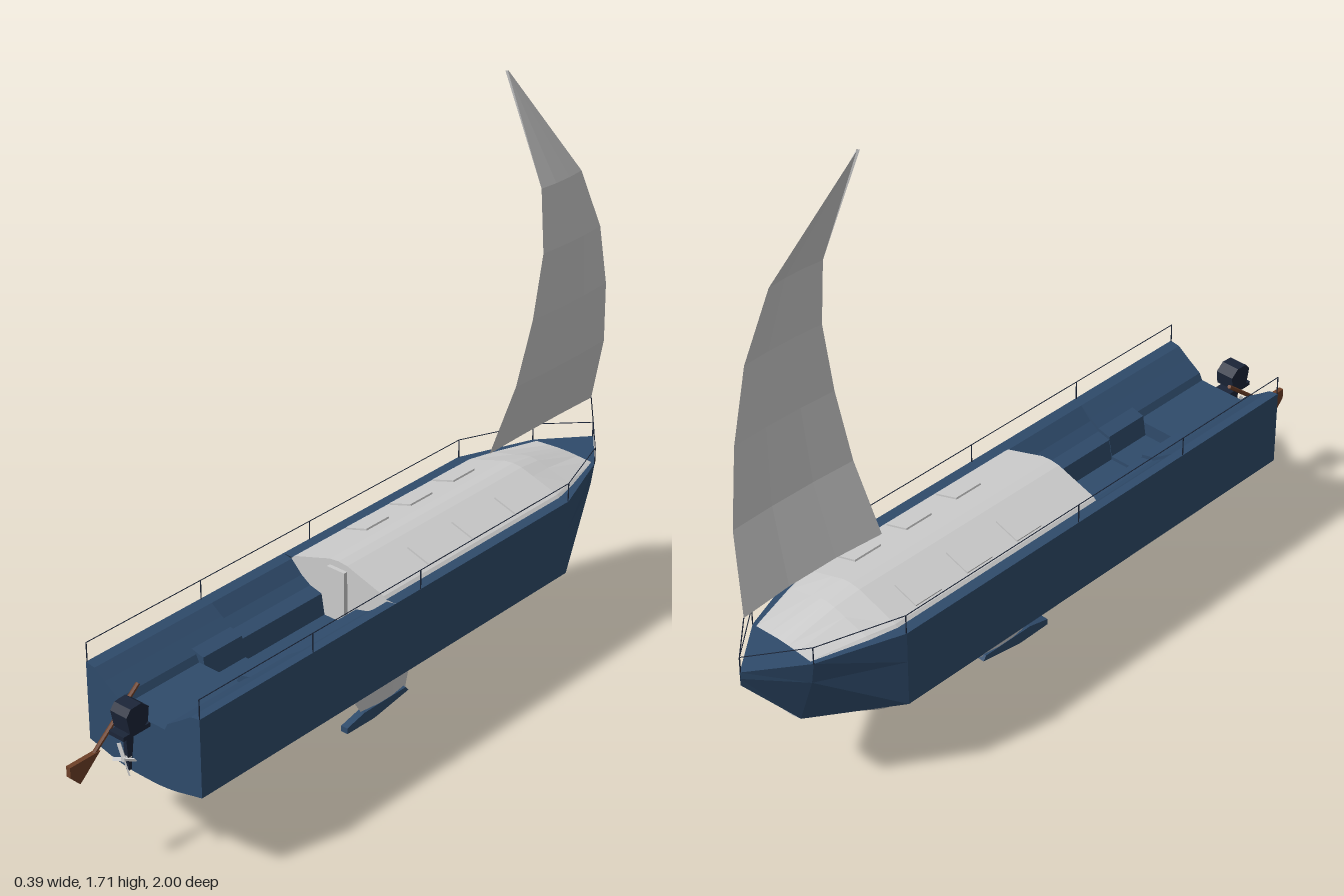
import * as THREE from 'three';

const paint = (color) => new THREE.MeshStandardMaterial({ color, flatShading: true, side: THREE.DoubleSide });
const grey = paint(0xcccccc), blue = paint(0x2f4b6b), navy = paint(0x1b2538), brown = paint(0x6e4028);

const V = (x, y, z) => new THREE.Vector3(x, y, z);

// Half section [x, y] from the +x edge to the centre line, mirrored to -x
const mirror = (half) => [...half, ...half.slice().reverse().filter(p => p[0] > 0).map(([x, y]) => [-x, y])];

function add(parent, name, geometry, material) {
  const mesh = new THREE.Mesh(geometry, material);
  mesh.name = name;
  parent.add(mesh);
  return mesh;
}

// Skin through rows of [x, y, z] points
function skin(rows) {
  const pos = [], index = [], n = rows[0].length;
  rows.forEach(row => row.forEach(p => pos.push(...p)));
  for (let i = 0; i < rows.length - 1; i++) {
    for (let j = 0; j < n - 1; j++) {
      const a = i * n + j, b = a + n;
      index.push(a, a + 1, b, a + 1, b + 1, b);
    }
  }
  const g = new THREE.BufferGeometry();
  g.setAttribute('position', new THREE.Float32BufferAttribute(pos, 3));
  g.setIndex(index);
  g.computeVertexNormals();
  return g;
}

// Stations are [z, section]
const loft = (stations) => skin(stations.map(([z, sec]) => sec.map(([x, y]) => [x, y, z])));

const outline = (pts) => new THREE.Shape(pts.map(([x, y]) => new THREE.Vector2(x, y)));
const panel = (pts, z) => new THREE.ShapeGeometry(outline(pts)).translate(0, 0, z);

// Side profile of [z, y] points, extruded to a thickness about x
const sidePlate = (pts, t, x = 0) => new THREE.ExtrudeGeometry(outline(pts.map(([z, y]) => [-z, y])), { depth: t, bevelEnabled: false })
  .translate(0, 0, -t / 2).rotateY(Math.PI / 2).translate(x, 0, 0);

// Straight rod between two points
function rod(parent, name, a, b, r, material, sides = 5) {
  const d = b.clone().sub(a);
  const m = add(parent, name, new THREE.CylinderGeometry(r, r, d.length(), sides), material);
  m.position.copy(a).addScaledVector(d, 0.5);
  m.quaternion.setFromUnitVectors(V(0, 1, 0), d.normalize());
}

export function createModel() {
  const boat = new THREE.Group();
  boat.name = 'sailboat';

  // Topsides: sheer, mid chine and lower edge
  const side = (s) => loft([
    [0.8, [[s * 0.195, 0.49], [s * 0.195, 0.4], [s * 0.195, 0.265]]],
    [-0.63, [[s * 0.195, 0.49], [s * 0.195, 0.4], [s * 0.195, 0.265]]],
    [-0.86, [[s * 0.11, 0.485], [s * 0.1, 0.42], [s * 0.05, 0.275]]],
    [-1, [[0, 0.48], [0, 0.46], [0, 0.44]]],
  ]);
  add(boat, 'leftTopside', side(1), blue);
  add(boat, 'rightTopside', side(-1), blue);
  add(boat, 'stemUnderside', loft([[-0.86, [[0.05, 0.275], [-0.05, 0.275]]], [-1, [[0, 0.44], [0, 0.44]]]]), blue);

  // Rounded bottom
  const bilge = mirror([[0.195, 0.265], [0.16, 0.25], [0.115, 0.205], [0.08, 0.178], [0.04, 0.166], [0, 0.166]]);
  const sternEdge = mirror([[0.195, 0.265], [0.16, 0.257], [0.115, 0.246], [0.08, 0.24], [0.04, 0.236], [0, 0.236]]);
  const bowEdge = mirror([[0.05, 0.275], [0.04, 0.272], [0.03, 0.27], [0.02, 0.268], [0.01, 0.267], [0, 0.267]]);
  add(boat, 'hullBottom', loft([[0.8, sternEdge], [0.6, bilge], [-0.63, bilge], [-0.86, bowEdge]]), grey);

  // Foredeck and side decks
  add(boat, 'deck', loft([
    [0.09, [[0.195, 0.49], [-0.195, 0.49]]], [-0.63, [[0.195, 0.49], [-0.195, 0.49]]],
    [-0.86, [[0.11, 0.485], [-0.11, 0.485]]], [-1, [[0, 0.48], [0, 0.48]]],
  ]), blue);

  // Cockpit with stepped benches and floor
  const well = (bench, floor, w) => mirror([[0.195, 0.49], [0.165, 0.485], [0.13, bench + 0.02], [0.1, bench], [w, bench - 0.01], [w - 0.01, floor], [0, floor]]);
  const fore = well(0.43, 0.36, 0.06), mid = well(0.44, 0.37, 0.06), aft = well(0.44, 0.41, 0.085);
  add(boat, 'cockpit', loft([[0.09, fore], [0.39, fore], [0.39, mid], [0.53, mid], [0.53, aft], [0.8, aft]]), blue);
  add(boat, 'transom', panel([...aft, ...sternEdge.slice().reverse()], 0.8), blue);

  // Cabin roof tapering to the foredeck
  const roof = mirror([[0.165, 0.488], [0.155, 0.497], [0.07, 0.524], [0.03, 0.537], [0, 0.54]]);
  const nose = mirror([[0.1, 0.484], [0.095, 0.486], [0.05, 0.489], [0.02, 0.491], [0, 0.491]]);
  const brow = mirror([[0.145, 0.488], [0.135, 0.495], [0.06, 0.514], [0.025, 0.525], [0, 0.528]]);
  add(boat, 'cabinRoof', loft([[0.09, roof], [-0.63, roof], [-0.71, brow], [-0.86, nose]]), grey);
  add(boat, 'cabinBulkhead', panel([...roof, ...fore.slice(1, -1).reverse()], 0.09), grey);
  add(boat, 'cabinDoor', new THREE.BoxGeometry(0.06, 0.15, 0.012).translate(0, 0.445, 0.096), grey);

  // Roof windows
  for (const s of [-1, 1]) {
    for (const z of [-0.145, -0.325, -0.505]) {
      const w = add(boat, 'roofWindow', new THREE.BoxGeometry(0.078, 0.008, 0.09), grey);
      w.position.set(s * 0.108, 0.513, z);
      w.rotation.z = -s * 0.31;
    }
  }

  // Guard rail
  const rail = new THREE.Group();
  rail.name = 'guardRail';
  boat.add(rail);
  const bowPost = V(0, 0.525, -0.997);
  for (const s of [-1, 1]) {
    const tops = [0.798, 0.4, -0.01, -0.63].map(z => V(s * 0.193, 0.545, z));
    tops.push(V(s * 0.11, 0.535, -0.86));
    tops.forEach((p, i) => {
      rod(rail, 'railPost', V(p.x, 0.484, p.z), p, 0.0017, navy);
      rod(rail, 'railWire', p, tops[i + 1] || bowPost, 0.0013, navy);
    });
  }
  rod(rail, 'bowPost', V(0, 0.46, -0.997), bowPost, 0.002, navy);

  // Curved headsail: [y, x, luff z, leech z]
  const sailRows = [
    [0.62, 0.012, -0.965, -0.51], [0.83, 0.072, -0.93, -0.54], [1.03, 0.106, -0.88, -0.56],
    [1.22, 0.122, -0.82, -0.575], [1.4, 0.112, -0.74, -0.571], [1.71, 0.02, -0.535, -0.525],
  ];
  add(boat, 'sail', skin(sailRows.map(([y, x, a, b]) => [0, 0.33, 0.67, 1].map(t =>
    [x + 0.006 * Math.sin(Math.PI * t), y + (y < 0.7 ? 0.008 * Math.sin(Math.PI * t) : 0), a + (b - a) * t]))), grey);
  rod(boat, 'sailTether', bowPost, V(0.012, 0.62, -0.965), 0.0015, navy);

  // Keel fin and ballast shoe
  const fin = (y, a, b, h) => [[0, y, a], [h, y, a + (b - a) * 0.35], [h, y, a + (b - a) * 0.65], [0, y, b],
    [-h, y, a + (b - a) * 0.65], [-h, y, a + (b - a) * 0.35], [0, y, a]];
  add(boat, 'keelFin', skin([fin(0.175, 0.095, -0.22, 0.021), fin(0.03, 0, -0.18, 0.009)]), grey);
  add(boat, 'keelShoe', sidePlate([[0.07, 0.002], [0.07, 0.02], [0, 0.036], [-0.17, 0.036], [-0.18, 0.022], [-0.04, 0]], 0.022), blue);

  // Outboard motor
  const motor = new THREE.Group();
  motor.name = 'outboardMotor';
  boat.add(motor);
  add(motor, 'motorCowl', sidePlate([[0.81, 0.42], [0.805, 0.46], [0.83, 0.48], [0.865, 0.478], [0.88, 0.46], [0.87, 0.41], [0.83, 0.405]], 0.056), navy);
  add(motor, 'motorBracket', new THREE.BoxGeometry(0.05, 0.012, 0.1).translate(0, 0.403, 0.84), navy);
  add(motor, 'motorLeg', sidePlate([[0.835, 0.41], [0.865, 0.41], [0.858, 0.29], [0.85, 0.29]], 0.012), navy);
  const hub = add(motor, 'propellerHub', new THREE.CylinderGeometry(0.007, 0.007, 0.025, 8).rotateX(Math.PI / 2), grey);
  hub.position.set(0, 0.325, 0.86);
  for (let i = 0; i < 4; i++) {
    const blade = add(hub, 'propellerBlade', new THREE.BoxGeometry(0.01, 0.042, 0.003).rotateY(0.5).translate(0, 0.022, 0.008), grey);
    blade.rotation.z = Math.PI / 8 + i * Math.PI / 2;
  }

  // Steering oar
  const oar = new THREE.Group();
  oar.name = 'rudder';
  boat.add(oar);
  rod(oar, 'rudderHandle', V(-0.055, 0.468, 0.76), V(-0.055, 0.33, 0.93), 0.006, brown, 6);
  add(oar, 'rudderBlade', sidePlate([[0.9, 0.345], [1, 0.345], [1, 0.315], [0.97, 0.283], [0.95, 0.3]], 0.014, -0.055), brown);

  return boat;
}
